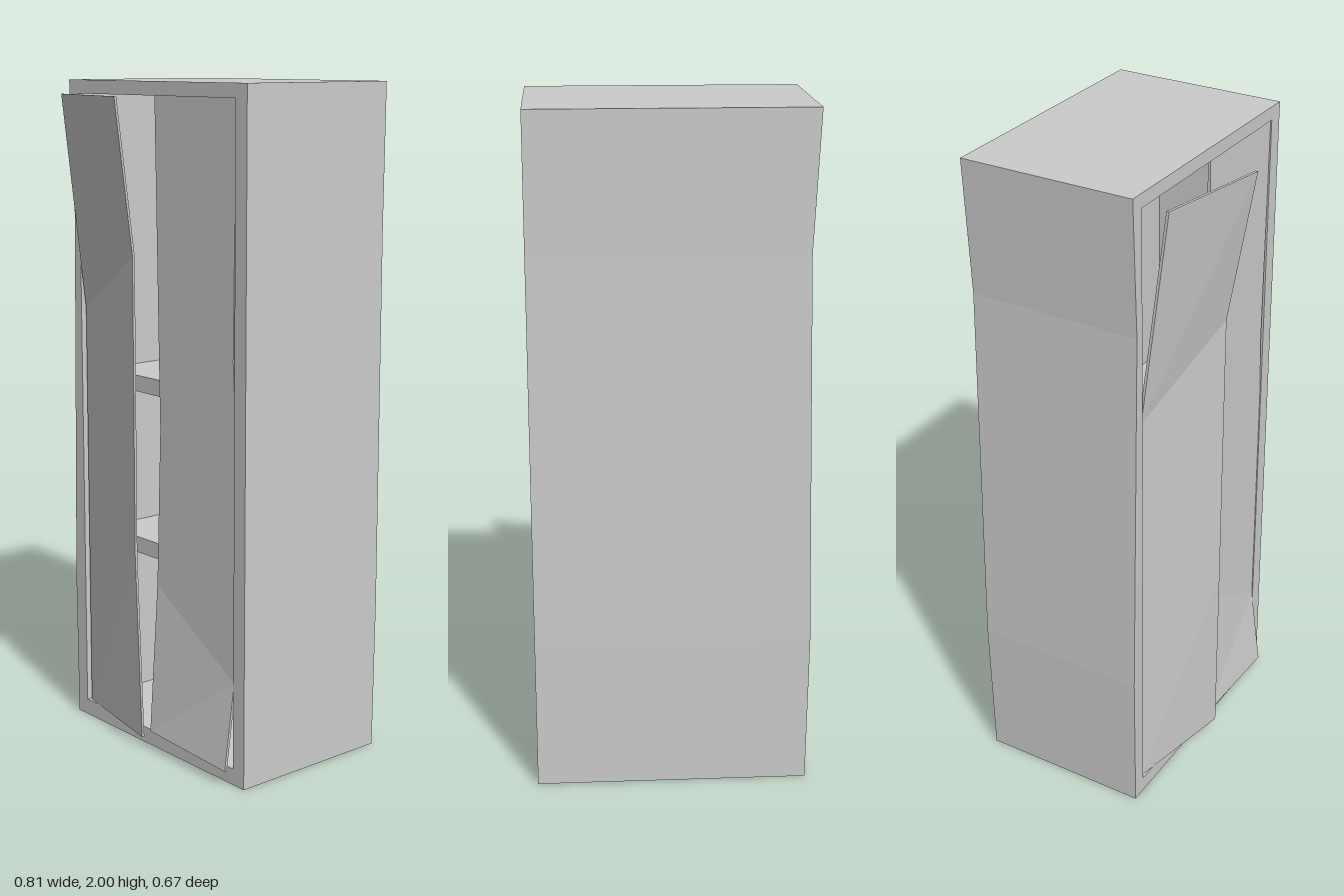
import * as THREE from 'three';

const material = new THREE.MeshStandardMaterial({ color: 0xcccccc, flatShading: true });

// Slab lofted through rows from bottom to top. Each row holds the front edge's
// right and left ends [x, y, z] and the z (or thickness) of its back edge.
function slab(name, rows) {
  const geo = new THREE.BoxGeometry(1, 1, 1, 1, rows.length - 1, 1);
  const pos = geo.attributes.position;
  for (let i = 0; i < pos.count; i++) {
    const row = rows[Math.round((pos.getY(i) + 0.5) * (rows.length - 1))];
    const [x, y, z] = pos.getX(i) < 0 ? row.a : row.b;
    const back = row.thick ? z - row.thick : row.back;
    pos.setXYZ(i, x, y, pos.getZ(i) > 0 ? z : back);
  }
  const flat = geo.toNonIndexed();
  flat.computeVertexNormals();
  const mesh = new THREE.Mesh(flat, material);
  mesh.name = name;
  return mesh;
}

function box(name, x0, x1, y0, y1, z0, z1) {
  const rows = [y0, y1].map((y) => ({ a: [x0, y, z1], b: [x1, y, z1], back: z0 }));
  return slab(name, rows);
}

// Thin bent sheet: each row is [xa, ya, za, xb, yb, zb]
function sheet(name, rows) {
  return slab(name, rows.map(([xa, ya, za, xb, yb, zb]) => ({
    a: [xa, ya, za], b: [xb, yb, zb], thick: 0.008,
  })));
}

export function createModel() {
  const group = new THREE.Group();
  const front = 0.195, inner = 0.355, insideBack = -0.17;

  // Dented outer shell: height, right side x, back z
  const dents = [[0, -0.4, -0.33], [0.45, -0.405, -0.335], [1.6, -0.382, -0.329], [2, -0.4, -0.332]];
  const wall = (name, xa, xb, z) => slab(name, dents.map(([y, side, back]) => ({
    a: [xa ?? side, y, z], b: [xb, y, z], back,
  })));
  group.add(
    wall('rightWall', null, -inner, front),
    wall('leftWall', inner, 0.402, front),
    wall('backPanel', -inner, inner, insideBack),
    box('topPanel', -inner, inner, 1.96, 2, insideBack, front),
    box('floorPanel', -inner, inner, 0, 0.05, insideBack, front),
  );

  // Shelves set back from the opening
  for (const y of [0.56, 1.07]) group.add(box('shelf', -inner, inner, y, y + 0.05, insideBack, 0.107));

  // Door standing ajar with its upper part bent outwards
  group.add(sheet('rightDoor', [
    [-0.345, 0.05, 0.185, 0.003, 0.05, 0.253],
    [-0.345, 0.68, 0.185, -0.012, 0.62, 0.262],
    [-0.345, 1.32, 0.185, -0.012, 1.51, 0.262],
    [-0.342, 1.96, 0.266, 0.005, 1.96, 0.335],
  ]));

  // Closed door with a warped edge and its foot bent outwards
  group.add(sheet('leftDoor', [
    [0.01, 0.065, 0.227, 0.355, 0.05, 0.227],
    [0.005, 0.52, 0.192, 0.355, 0.31, 0.192],
    [0.023, 1.0, 0.192, 0.355, 1.1, 0.192],
    [0.019, 1.2, 0.192, 0.346, 1.24, 0.192],
    [0.005, 1.96, 0.192, 0.354, 1.96, 0.192],
  ]));

  return group;
}
